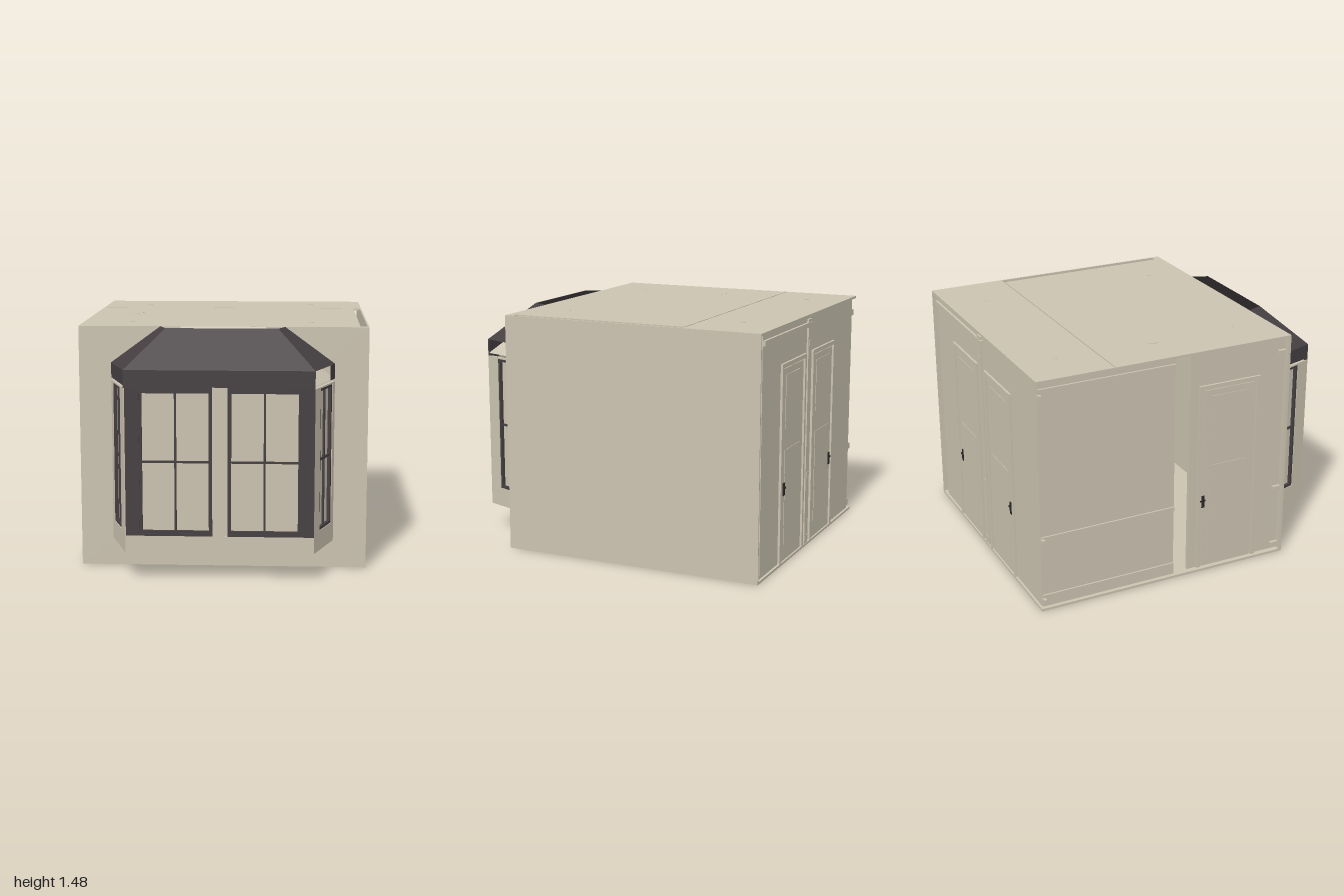
import * as THREE from 'three';

const mat = (name, color) => {
  const m = new THREE.MeshStandardMaterial({ color, side: THREE.DoubleSide });
  m.name = name;
  return m;
};

export function createModel() {
  const beige = mat('beige plaster', 0xcbc3b1);
  const dark = mat('dark trim', 0x453f41);
  const black = mat('handle black', 0x2a2626);

  const model = new THREE.Group();
  model.name = 'roomWithBayWindow';

  const group = (name, x, y, z, rotY = 0, parent = model) => {
    const g = new THREE.Group();
    g.name = name;
    g.position.set(x, y, z);
    g.rotation.y = rotY;
    parent.add(g);
    return g;
  };
  // box given by its two opposite corners
  const box = (name, m, x0, x1, y0, y1, z0, z1, parent = model) => {
    const mesh = new THREE.Mesh(new THREE.BoxGeometry(x1 - x0, y1 - y0, z1 - z0), m);
    mesh.position.set((x0 + x1) / 2, (y0 + y1) / 2, (z0 + z1) / 2);
    mesh.name = name;
    parent.add(mesh);
    return mesh;
  };
  // flat convex face from corner points, counter-clockwise from outside
  const face = (name, m, pts, parent = model) => {
    const g = new THREE.BufferGeometry();
    g.setAttribute('position', new THREE.Float32BufferAttribute(pts.flat(), 3));
    const index = [];
    for (let i = 1; i < pts.length - 1; i++) index.push(0, i, i + 1);
    g.setIndex(index);
    g.computeVertexNormals();
    const mesh = new THREE.Mesh(g, m);
    mesh.name = name;
    parent.add(mesh);
  };
  // upright plate with rectangular holes, front at local z = 0
  const rect = (P, [x0, x1, y0, y1]) => {
    const p = new P();
    p.moveTo(x0, y0); p.lineTo(x1, y0); p.lineTo(x1, y1); p.lineTo(x0, y1); p.closePath();
    return p;
  };
  const plate = (name, m, outer, holes, depth, parent) => {
    const s = rect(THREE.Shape, outer);
    s.holes = holes.map(h => rect(THREE.Path, h));
    const mesh = new THREE.Mesh(new THREE.ExtrudeGeometry(s, { depth, bevelEnabled: false }), m);
    mesh.position.z = -depth;
    mesh.name = name;
    parent.add(mesh);
  };
  // sash with one vertical and one horizontal glazing bar
  const sash = (x0, x1, y0, y1, parent) => {
    const t = 0.016, cx = (x0 + x1) / 2, b = 0.006;
    const g = group('sash', 0, 0, -0.004, 0, parent);
    plate('sashFrame', dark, [x0, x1, y0, y1], [[x0 + t, x1 - t, y0 + t, y1 - t]], 0.02, g);
    box('verticalBar', dark, cx - b, cx + b, y0, y1, -0.018, -0.006, g);
    box('horizontalBar', dark, x0, x1, 0.715 - b, 0.715 + b, -0.018, -0.006, g);
    box('pane', beige, x0, x1, y0, y1, -0.026, -0.021, g);
  };

  // room shell
  box('floor', beige, -0.875, 0.872, 0, 0.015, -1, 0.67);
  box('frontWall', beige, -0.875, 0.872, 0, 1.48, 0.65, 0.67);
  box('rightWall', beige, 0.862, 0.872, 0, 1.48, -1, 0.67);
  box('backWall', beige, -0.84, 0.81, 0, 1.47, -0.985, -0.965);
  box('leftWallRear', beige, -0.84, -0.82, 0, 1.47, -0.985, -0.1);
  box('leftWallFront', beige, -0.84, -0.82, 0, 1.47, 0, 0.66);
  box('ceilingRear', beige, -0.875, 0.872, 1.465, 1.48, -1, -0.512);
  box('ceilingFront', beige, -0.875, 0.82, 1.465, 1.48, -0.505, 0.67);
  box('ceilingSeam', beige, -0.87, 0.82, 1.463, 1.472, -0.52, -0.5);
  box('ceilingCorner', beige, 0.815, 0.862, 1.465, 1.48, 0.62, 0.67);

  // ceiling fixtures
  const disc = (name, x, z, r) => {
    const d = new THREE.Mesh(new THREE.CylinderGeometry(r, r, 0.012, 20), beige);
    d.position.set(x, 1.476, z);
    d.name = name;
    model.add(d);
  };
  for (const x of [-0.58, 0.53]) for (const z of [-0.75, 0.42]) disc('ceilingSpot', x, z, 0.016);
  disc('ceilingLampBase', -0.6, -0.14, 0.038);

  // panelled doors, local z pointing outward
  const door = (parent, cx, handleX) => {
    const g = group('door', cx, 0, 0, 0, parent), w = 0.21, h = 1.245, t = 0.025;
    for (const s of [-1, 1]) box('doorJamb', beige, s * (w - t / 2) - t / 2, s * (w - t / 2) + t / 2, 0, h, 0, 0.014, g);
    box('doorHead', beige, -w, w, h - t, h, 0, 0.014, g);
    box('doorLeaf', beige, t - w + 0.01, w - t - 0.01, 0.015, h - t - 0.01, 0, 0.005, g);
    box('lowerPanel', beige, -0.13, 0.13, 0.12, 0.71, 0.005, 0.008, g);
    box('upperPanel', beige, -0.13, 0.13, 0.84, 1.17, 0.005, 0.008, g);
    box('handlePlate', black, handleX - 0.014, handleX + 0.014, 0.43, 0.51, 0.005, 0.01, g);
    box('handleLever', black, handleX - 0.02, handleX + 0.02, 0.472, 0.484, 0.01, 0.015, g);
  };
  const back = group('backWallDetails', 0, 0, -0.985, Math.PI);
  door(back, -0.3, -0.14);
  door(back, 0.245, 0.155);
  box('wallPost', beige, -0.06, 0, 0, 1.45, 0, 0.012, back);
  box('cornice', beige, -0.81, 0.02, 1.4, 1.43, 0, 0.015, back);
  for (const y of [0.05, 0.46, 1.3]) box('postPlate', beige, -0.05, -0.01, y - 0.02, y + 0.02, 0.012, 0.015, back);

  const left = group('leftWallDetails', -0.84, 0, 0, -Math.PI / 2);
  door(left, 0.27, -0.175);
  box('cornice', beige, -0.98, -0.1, 1.38, 1.42, 0, 0.012, left);
  box('chairRail', beige, -0.98, -0.1, 0.45, 0.48, 0, 0.01, left);
  box('baseboard', beige, -0.98, -0.1, 0.015, 0.09, 0, 0.01, left);
  for (const y of [0.05, 0.45, 1.37]) {
    box('cornerBracket', beige, -0.985, -0.965, y - 0.02, y + 0.02, 0, 0.033, left);
    box('cornerBracket', beige, 0.6, 0.65, y - 0.015, y + 0.015, 0, 0.02, left);
  }

  // bay window front, plate face at z = 1
  const bay = group('bayFront', 0, 0, 1);
  for (const [x0, x1, p0, p1] of [[-0.57, -0.05, -0.48, -0.055], [0.04, 0.55, 0.045, 0.47]]) {
    plate('windowSurround', dark, [x0, x1, 0.27, 1.17], [[p0, p1, 0.285, 1.14]], 0.02, bay);
    sash(p0, p1, 0.285, 1.14, bay);
  }
  box('centrePier', beige, -0.05, 0.04, 0.27, 1.16, -0.02, -0.001, bay);
  box('frontApron', beige, -0.57, 0.55, 0.17, 0.27, -0.02, 0, bay);
  box('frontFascia', dark, -0.57, 0.55, 1.16, 1.26, -0.01, 0, bay);

  // angled bay sides
  const len = 0.35;
  const baySide = (name, x, z, dx, dz, w0, w1) => {
    const g = group(name, x, 0, z, Math.atan2(-dz, dx));
    plate('sidePlate', beige, [0, len, 0.27, 1.155], [[w0, w1, 0.29, 1.145]], 0.02, g);
    box('sideApron', beige, 0, len, 0.17, 0.27, -0.02, 0, g);
    sash(w0, w1, 0.29, 1.145, g);
  };
  baySide('bayRightSide', 0.55, 1, 0.12, -0.33, 0.095, 0.31);
  baySide('bayLeftSide', -0.68, 0.67, 0.11, 0.33, 0.04, 0.255);
  face('bayFloor', beige, [[-0.68, 0.17, 0.67], [0.67, 0.17, 0.67], [0.55, 0.17, 1], [-0.57, 0.17, 1]]);

  // dark hipped bay roof, open along the wall
  face('roofFront', dark, [[-0.57, 1.26, 1], [0.55, 1.26, 1], [0.33, 1.48, 0.77], [-0.34, 1.48, 0.77]]);
  face('roofRight', dark, [[0.55, 1.26, 1], [0.67, 1.26, 0.67], [0.37, 1.48, 0.67], [0.33, 1.48, 0.77]]);
  face('roofLeft', dark, [[-0.68, 1.26, 0.67], [-0.57, 1.26, 1], [-0.34, 1.48, 0.77], [-0.38, 1.48, 0.67]]);
  face('leftFascia', dark, [[-0.68, 1.17, 0.67], [-0.57, 1.17, 1], [-0.57, 1.26, 1], [-0.68, 1.26, 0.67]]);
  face('rightFascia', dark, [[0.641, 1.17, 0.75], [0.67, 1.17, 0.67], [0.67, 1.26, 0.67], [0.641, 1.26, 0.75]]);

  // beige lining beneath the roof
  face('liningFront', beige, [[-0.57, 1.172, 0.995], [0.55, 1.172, 0.995], [0.25, 1.48, 0.672], [-0.25, 1.48, 0.672]]);
  face('liningRight', beige, [[0.55, 1.172, 0.995], [0.665, 1.172, 0.672], [0.25, 1.48, 0.672]]);
  face('liningLeft', beige, [[-0.675, 1.172, 0.672], [-0.57, 1.172, 0.995], [-0.25, 1.48, 0.672]]);

  return model;
}
